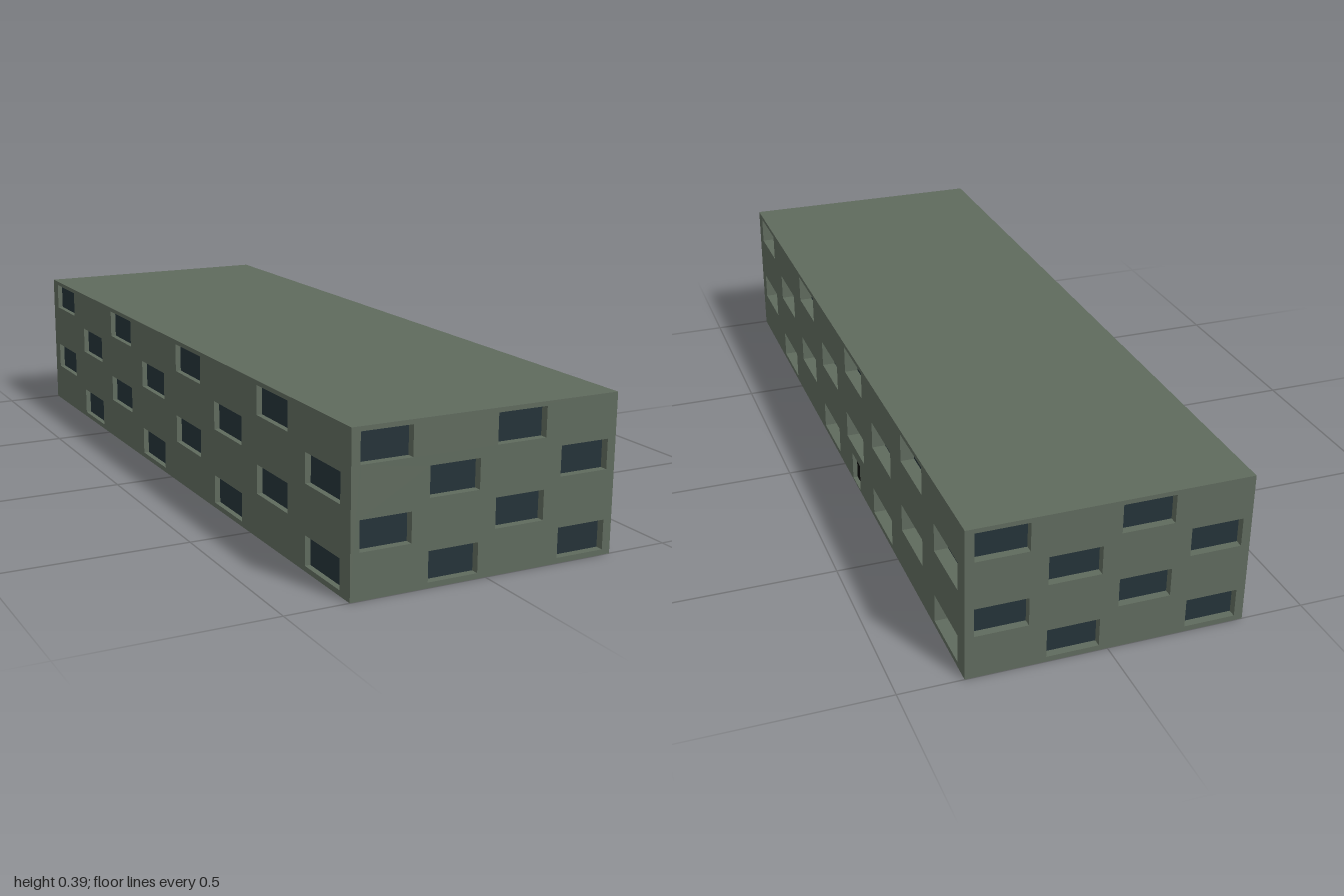
import * as THREE from 'three';
import { mergeGeometries } from 'three/addons/utils/BufferGeometryUtils.js';

const W = 0.686, H = 0.387, L = 2;
const FLOORS = 4, FLOOR_H = H / FLOORS;

const wallMat = new THREE.MeshStandardMaterial({ color: 0x5f6a5d });
const glassMat = new THREE.MeshStandardMaterial({ color: 0x243238 });
const doorMat = new THREE.MeshStandardMaterial({ color: 0x0a0a0a });

function mesh(name, geometry, material) {
  const m = new THREE.Mesh(geometry, material);
  m.name = name;
  return m;
}

// Rectangular hole outline around a centre
function holePath({ x, y, w, h }) {
  return new THREE.Path([[-1, -1], [-1, 1], [1, 1], [1, -1]]
    .map(([i, j]) => new THREE.Vector2(x + i * w / 2, y + j * h / 2)));
}

// Four inward-facing sides of a recess running from z = 0 to z = -depth
function reveal({ x, y, w, h, depth }) {
  const q = Math.PI / 2;
  return [
    new THREE.PlaneGeometry(w, depth).rotateX(q).translate(x, y + h / 2, -depth / 2),
    new THREE.PlaneGeometry(w, depth).rotateX(-q).translate(x, y - h / 2, -depth / 2),
    new THREE.PlaneGeometry(depth, h).rotateY(q).translate(x - w / 2, y, -depth / 2),
    new THREE.PlaneGeometry(depth, h).rotateY(-q).translate(x + w / 2, y, -depth / 2),
  ];
}

const pane = ({ x, y, w, h, depth }) =>
  new THREE.PlaneGeometry(w, h).translate(x, y, -depth);

// One wall with a checkerboard of recessed windows and an optional door
function facade(name, { width, bays, winW, depth, shift = 0, door }) {
  const group = new THREE.Group();
  group.name = name;
  const bay = width / bays;
  const windows = [];
  for (let row = 0; row < FLOORS; row++) {
    for (let col = 0; col < bays; col++) {
      if ((row + col) % 2 === 0) continue;
      windows.push({
        x: -width / 2 + (col + 0.5) * bay + shift,
        y: (row + 0.5) * FLOOR_H + 0.001,
        w: winW, h: 0.0725, depth,
      });
    }
  }
  const openings = door ? [...windows, door] : windows;

  const outline = new THREE.Shape([[-1, 0], [1, 0], [1, 1], [-1, 1]]
    .map(([i, j]) => new THREE.Vector2(i * width / 2, j * H)));
  outline.holes = openings.map(holePath);

  group.add(mesh('wall', new THREE.ShapeGeometry(outline), wallMat));
  group.add(mesh('windowReveals', mergeGeometries(openings.flatMap(reveal)), wallMat));
  group.add(mesh('windowPanes', mergeGeometries(windows.map(pane)), glassMat));
  if (door) group.add(mesh('door', pane(door), doorMat));
  return group;
}

export function createModel() {
  const model = new THREE.Group();
  model.name = 'building';

  const end = { width: W, bays: 4, winW: 0.128, depth: 0.02 };
  const side = { width: L, bays: 8, winW: 0.163, shift: -0.003 };
  const door = { x: 0.123, y: 0.042, w: 0.073, h: 0.076, depth: 0.012 };

  // Walls, each turned about the vertical axis and pushed out
  [
    ['frontWall', 0, L / 2, end],
    ['leftWall', 1, W / 2, { ...side, depth: 0.034, door }],
    ['backWall', 2, L / 2, end],
    ['rightWall', 3, W / 2, { ...side, depth: 0.014 }],
  ].forEach(([name, turns, out, options]) => {
    const wall = facade(name, options);
    const angle = turns * Math.PI / 2;
    wall.rotation.y = angle;
    wall.position.set(Math.sin(angle) * out, 0, Math.cos(angle) * out);
    model.add(wall);
  });

  // Flat roof and underside
  const slab = (turn, y) =>
    new THREE.PlaneGeometry(W, L).rotateX(turn * Math.PI / 2).translate(0, y, 0);
  model.add(mesh('roof', slab(-1, H), wallMat));
  model.add(mesh('base', slab(1, 0), wallMat));
  return model;
}
